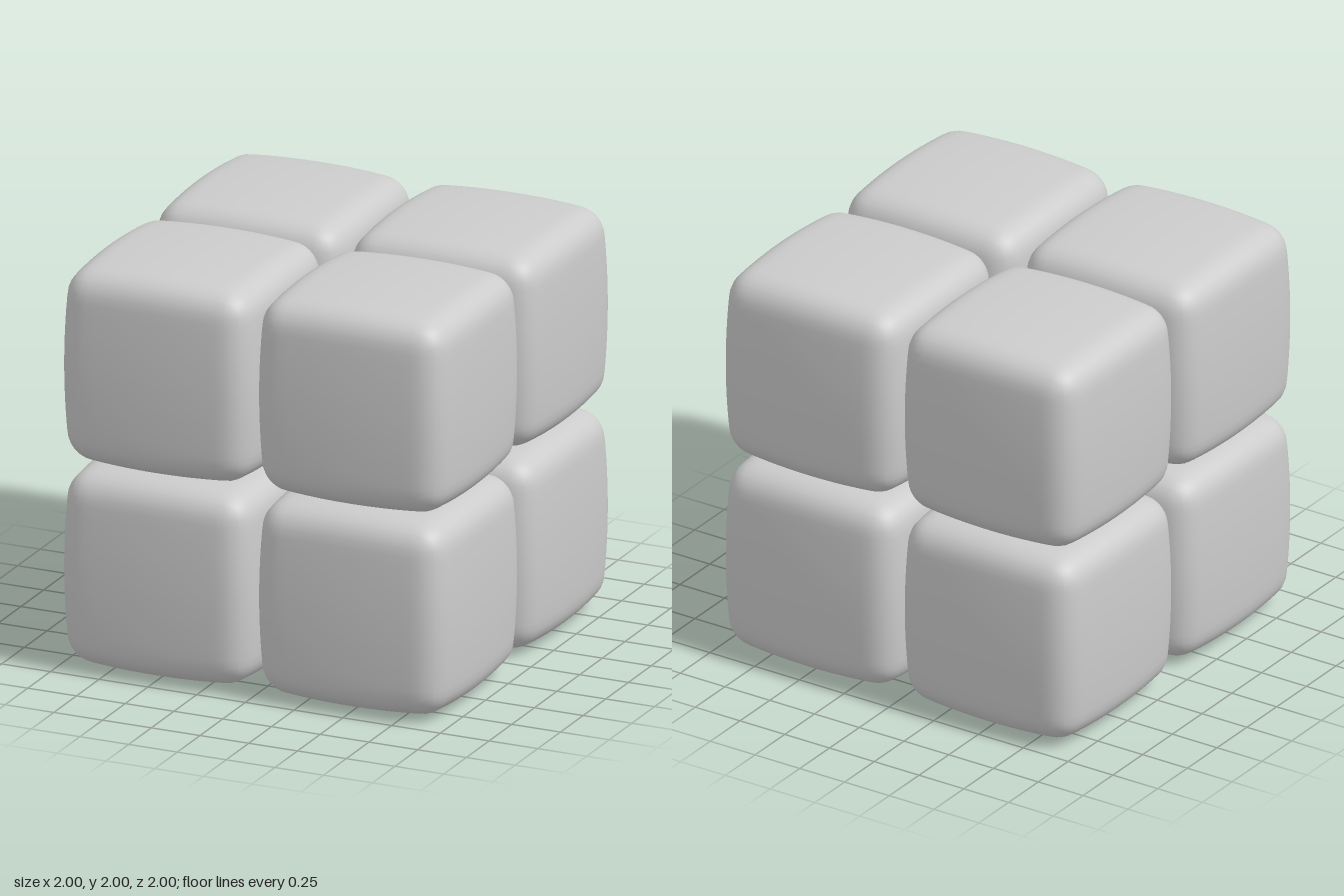
import * as THREE from 'three';
import { mergeVertices } from 'three/addons/utils/BufferGeometryUtils.js';

const HALF = 0.4545;  // half size at the corners, before bulging
const RADIUS = 0.115; // edge rounding
const BULGE = 0.05;   // pillow-like swelling of the faces

// Rounded cube with softly swollen faces, one unit across
function pillowCube() {
  let geo = new THREE.BoxGeometry(2, 2, 2, 24, 24, 24);
  geo.deleteAttribute('uv');
  geo.deleteAttribute('normal');
  geo = mergeVertices(geo, 1e-4);
  const pos = geo.attributes.position;
  const p = new THREE.Vector3();
  const core = new THREE.Vector3();
  const inner = HALF - RADIUS;
  // gathers the grid lines towards the edges
  const spread = (t) => HALF * Math.sin(t * Math.PI / 2);
  for (let i = 0; i < pos.count; i++) {
    p.fromBufferAttribute(pos, i);
    p.set(spread(p.x), spread(p.y), spread(p.z));
    // round the edges and corners
    core.copy(p).clampScalar(-inner, inner);
    p.sub(core).setLength(RADIUS).add(core);
    // swell each axis according to the distance from the face centre
    const [a, b, c] = p.toArray().map((v) => (v / HALF) ** 2);
    pos.setXYZ(i,
      p.x * (1 + BULGE * (2 - b - c)),
      p.y * (1 + BULGE * (2 - a - c)),
      p.z * (1 + BULGE * (2 - a - b)));
  }
  geo.computeVertexNormals();
  return geo;
}

export function createModel() {
  const group = new THREE.Group();
  group.name = 'cubeStack';
  const material = new THREE.MeshStandardMaterial({ color: 0xcccccc });
  const geometry = pillowCube();

  // Two by two by two touching blocks
  for (const x of [-0.5, 0.5])
    for (const y of [0.5, 1.5])
      for (const z of [-0.5, 0.5]) {
        const block = new THREE.Mesh(geometry, material);
        block.name = (y > 1 ? 'top' : 'bottom') + (z > 0 ? 'Front' : 'Back') + (x > 0 ? 'Left' : 'Right') + 'Block';
        block.position.set(x, y, z);
        group.add(block);
      }
  return group;
}
